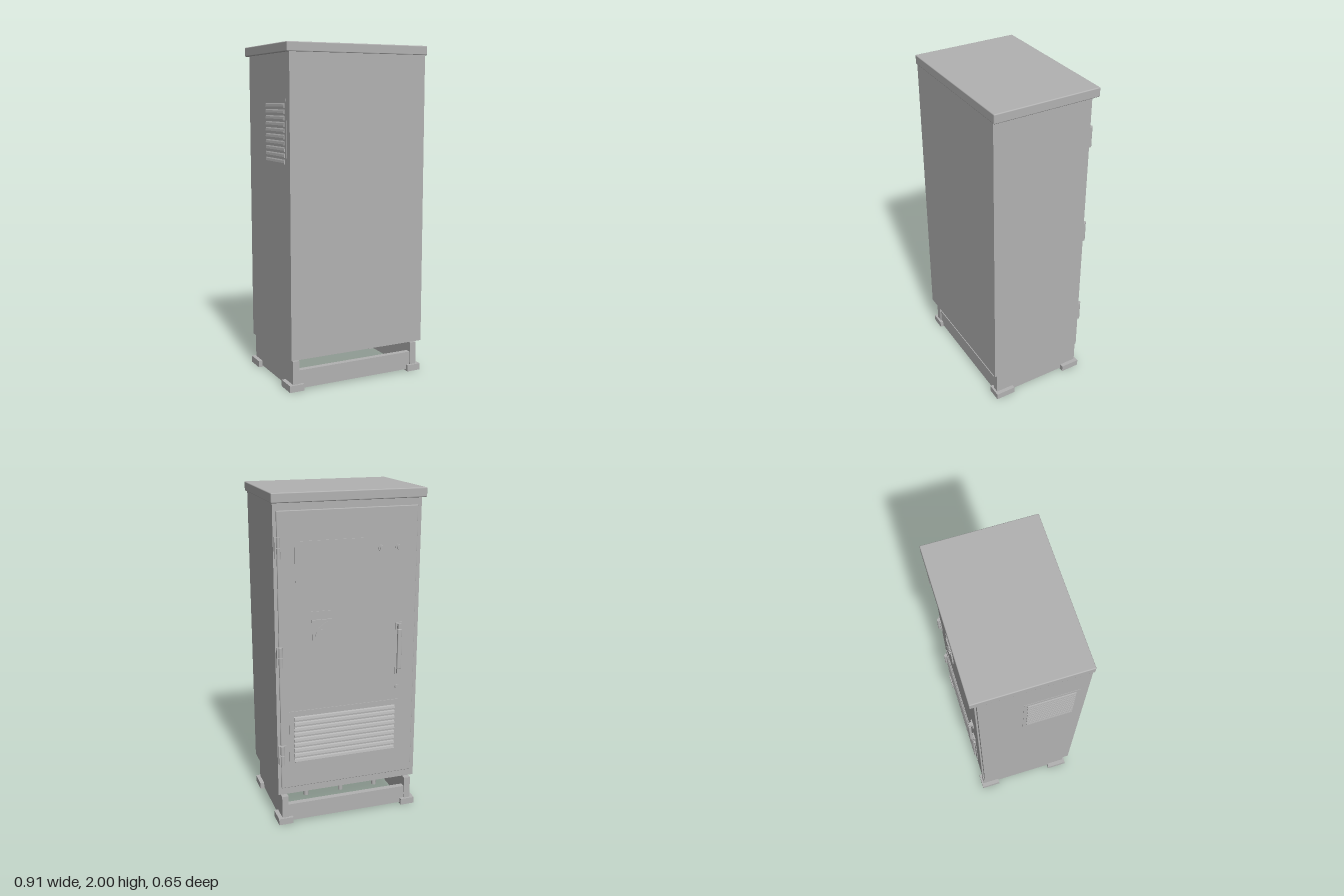
import * as THREE from 'three';
import { RoundedBoxGeometry } from 'three/addons/geometries/RoundedBoxGeometry.js';

const grey = new THREE.MeshStandardMaterial({ color: 0xb2b2b2 });
grey.name = 'cabinetGrey';

function add(parent, name, geometry) {
  const mesh = new THREE.Mesh(geometry, grey);
  mesh.name = name;
  parent.add(mesh);
  return mesh;
}

// Box given by its limits on each axis; r rounds the edges
function box(parent, name, [x0, x1], [y0, y1], [z0, z1], r = 0) {
  const size = [x1 - x0, y1 - y0, z1 - z0];
  const geo = r ? new RoundedBoxGeometry(...size, 2, r) : new THREE.BoxGeometry(...size);
  geo.translate((x0 + x1) / 2, (y0 + y1) / 2, (z0 + z1) / 2);
  return add(parent, name, geo);
}

// Cylinder standing along y, or along z when facing
function cyl(parent, name, r, len, [x, y, z], facing = false, sides = 24) {
  const geo = new THREE.CylinderGeometry(r, r, len, sides);
  if (facing) geo.rotateX(Math.PI / 2);
  geo.translate(x, y, z);
  return add(parent, name, geo);
}

// Row of sloped louver hoods facing +z, over a thin backing plate
function louver(parent, name, width, y0, y1, count, plate, depth, margin) {
  const group = new THREE.Group();
  group.name = name;
  parent.add(group);
  box(group, 'ventPlate', [-width / 2, width / 2], [y0, y1], [0, plate]);
  const len = width - margin * 2;
  const pitch = (y1 - y0 - margin * 2) / count;
  const h = pitch * 0.75;
  const profile = new THREE.Shape();
  profile.moveTo(0, 0);
  profile.lineTo(depth, 0);
  profile.lineTo(depth, h * 0.25);
  profile.lineTo(depth * 0.6, h * 0.75);
  profile.lineTo(0, h);
  const geo = new THREE.ExtrudeGeometry(profile, { depth: len, bevelEnabled: false });
  geo.rotateY(-Math.PI / 2).translate(len / 2, 0, plate);
  for (let i = 0; i < count; i++) {
    add(group, 'slat', geo).position.y = y0 + margin + pitch * (i + 0.12);
  }
  return group;
}

function buildDoor(root) {
  // Door frame: +z points out of the cabinet, then turned to the back
  const door = new THREE.Group();
  door.name = 'door';
  door.rotation.y = Math.PI;
  root.add(door);
  const face = 0.295;
  box(door, 'doorPanel', [-0.42, 0.415], [0.24, 1.9], [0.28, face], 0.004);

  // Display cover and the nameplate above the warning sign
  box(door, 'displayCover', [-0.32, 0.11], [1.5, 1.73], [face, face + 0.005]);
  box(door, 'nameplate', [-0.23, -0.1], [1.305, 1.325], [face, face + 0.004]);

  // Indicator buttons
  for (const x of [0.195, 0.3]) {
    cyl(door, 'indicatorRing', 0.02, 0.005, [x, 1.665, face + 0.0025], true);
    cyl(door, 'indicator', 0.014, 0.01, [x, 1.665, face + 0.008], true);
  }

  // Warning sign with a raised bolt arrow
  box(door, 'warningPlate', [-0.225, -0.1], [1.155, 1.275], [face, face + 0.008]);
  const bolt = new THREE.Shape([
    [0.035, 0.045], [-0.015, 0.005], [0.005, 0.0], [-0.025, -0.025], [-0.018, -0.034],
    [-0.045, -0.038], [-0.04, -0.01], [-0.033, -0.018], [-0.005, 0.008], [-0.03, 0.012],
    [0.022, 0.05],
  ].map(([x, y]) => new THREE.Vector2(x, y)));
  add(door, 'warningBolt', new THREE.ExtrudeGeometry(bolt, { depth: 0.006, bevelEnabled: false }))
    .position.set(-0.162, 1.213, face + 0.008);

  // Pull handle and lock
  const hx = 0.31;
  for (const y of [0.915, 1.195]) {
    box(door, 'handleMount', [hx - 0.021, hx + 0.021], [y - 0.022, y + 0.022], [face, face + 0.008]);
    box(door, 'handlePost', [hx - 0.01, hx + 0.01], [y - 0.015, y + 0.015], [face, face + 0.024]);
  }
  box(door, 'handleBar', [hx - 0.013, hx + 0.013], [0.93, 1.18], [face + 0.014, face + 0.03], 0.005);
  cyl(door, 'lock', 0.014, 0.01, [hx, 0.81, face + 0.005], true);

  // Hinges on the free edge of the frame
  for (const y of [0.46, 1.07, 1.7]) {
    box(door, 'hingeLeaf', [-0.435, -0.39], [y - 0.06, y + 0.06], [0.284, 0.301]);
    for (const dy of [-0.031, 0.031]) {
      cyl(door, 'hingeBarrel', 0.011, 0.058, [-0.415, y + dy, 0.305]);
    }
  }

  // Lower air inlet
  louver(door, 'doorVent', 0.695, 0.37, 0.73, 9, 0.004, 0.011, 0.03)
    .position.set(-0.022, 0, face);
}

function buildBase(root) {
  const base = new THREE.Group();
  base.name = 'base';
  root.add(base);
  for (const s of [-1, 1]) {
    const span = (a, b) => (s > 0 ? [a, b] : [-b, -a]);
    box(base, 'sidePlate', span(0.38, 0.42), [0.01, 0.18], [-0.292, 0.297]);
    for (const z of [[-0.305, -0.185], [0.185, 0.31]]) {
      box(base, 'foot', span(0.355, 0.445), [0, 0.04], z);
    }
  }
  for (const z of [[-0.285, -0.25], [0.255, 0.29]]) {
    box(base, 'crossRail', [-0.38, 0.38], [0.01, 0.12], z);
  }
  // Cable glands under the floor
  for (const x of [-0.228, 0, 0.228]) {
    cyl(base, 'glandNeck', 0.022, 0.03, [x, 0.185, -0.148]);
    cyl(base, 'glandNut', 0.03, 0.018, [x, 0.162, -0.148], false, 6);
    cyl(base, 'glandTail', 0.015, 0.06, [x, 0.125, -0.148]);
  }
}

export function createModel() {
  const root = new THREE.Group();
  root.name = 'cabinet';

  // Enclosure and overhanging roof
  box(root, 'body', [-0.44, 0.44], [0.195, 1.95], [-0.285, 0.322]);
  box(root, 'roof', [-0.455, 0.455], [1.945, 2], [-0.325, 0.325], 0.006);

  // Side air outlet
  const vent = louver(root, 'sideVent', 0.31, 1.3, 1.69, 10, 0.002, 0.006, 0.02);
  vent.rotation.y = -Math.PI / 2;
  vent.position.set(-0.44, 0, 0.12);

  buildDoor(root);
  buildBase(root);
  return root;
}
